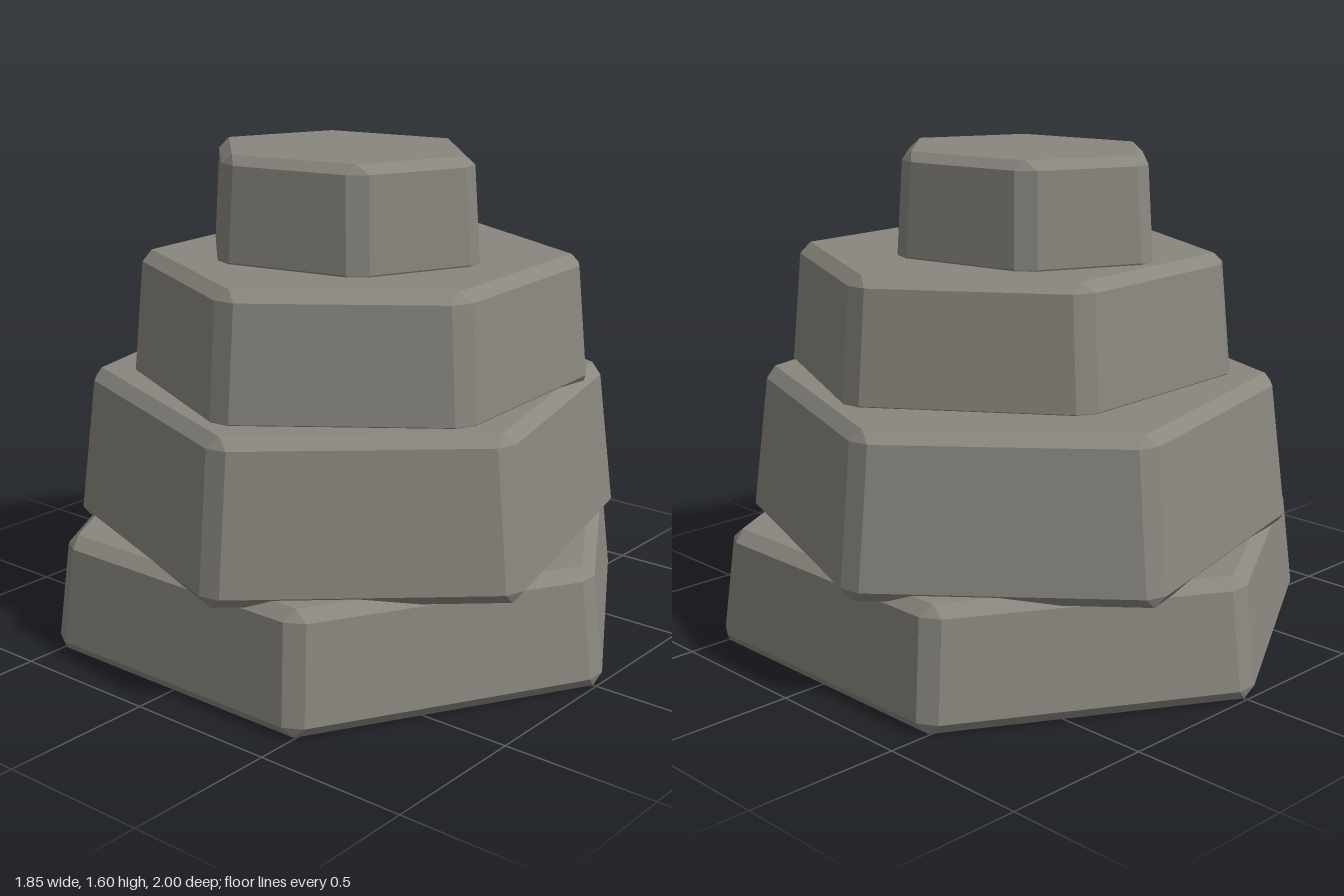
import * as THREE from 'three';

const CUT = 0.04; // width of the bevel that trims each corner

// Half of each slab's corners (x, z); the other half is the point reflection.
// levels: [height, scale, bevelled corners]
const slabs = [
  { name: 'baseSlab', centre: [0, 0], half: [[0, -1.018], [0.88, -0.509], [0.88, 0.509]],
    levels: [[0, 0.97, false], [0.035, 1, true], [0.35, 0.96, true], [0.385, 0.915, false]] },
  { name: 'lowerSlab', centre: [0, 0], half: [[0.325, -0.92], [0.94, -0.23], [0.61, 0.68]],
    levels: [[0.355, 0.965, false], [0.39, 1, true], [0.83, 0.94, true], [0.865, 0.895, false]] },
  { name: 'upperSlab', centre: [-0.03, 0.075], half: [[0.295, -0.65], [0.745, -0.05], [0.45, 0.61]],
    levels: [[0.83, 0.96, false], [0.868, 1, true], [1.23, 0.955, true], [1.263, 0.895, false]] },
  { name: 'topSlab', centre: [-0.047, 0.017], half: [[-0.09, -0.485], [0.3, -0.305], [0.405, 0.175]],
    levels: [[1.23, 0.95, false], [1.268, 1, true], [1.57, 0.955, true], [1.6, 0.875, false]] },
];

// Twelve points per level: two per corner, merged where the corner is sharp
function ring({ centre, half }, [y, scale, bevelled]) {
  const corners = [...half, ...half.map(([x, z]) => [-x, -z])]
    .map(([x, z]) => new THREE.Vector3(centre[0] + x * scale, y, centre[1] + z * scale));
  const points = [];
  corners.forEach((c, i) => {
    for (const step of [5, 1]) {
      const toward = corners[(i + step) % 6].clone().sub(c).normalize();
      points.push(c.clone().addScaledVector(toward, bevelled ? CUT : 0));
    }
  });
  return points;
}

function slabGeometry(slab) {
  const rings = slab.levels.map((level) => ring(slab, level));
  const pos = [];
  const tri = (a, b, c) => {
    const area = b.clone().sub(a).cross(c.clone().sub(a)).length();
    if (area > 1e-7) for (const p of [a, b, c]) pos.push(p.x, p.y, p.z);
  };
  // sloping sides and bevels
  for (let k = 0; k < 3; k++) {
    const lo = rings[k], hi = rings[k + 1];
    for (let i = 0; i < 12; i++) {
      const j = (i + 1) % 12;
      tri(lo[j], lo[i], hi[i]);
      tri(lo[j], hi[i], hi[j]);
    }
  }
  // flat bottom and top
  const bottom = rings[0], top = rings[3];
  for (let i = 1; i < 11; i++) {
    tri(bottom[0], bottom[i], bottom[i + 1]);
    tri(top[0], top[i + 1], top[i]);
  }
  const geo = new THREE.BufferGeometry();
  geo.setAttribute('position', new THREE.Float32BufferAttribute(pos, 3));
  geo.computeVertexNormals();
  return geo;
}

export function createModel() {
  const group = new THREE.Group();
  group.name = 'stackedStones';
  const stone = new THREE.MeshStandardMaterial({ color: 0x8a877f, flatShading: true });
  stone.name = 'stone grey';
  for (const slab of slabs) {
    const mesh = new THREE.Mesh(slabGeometry(slab), stone);
    mesh.name = slab.name;
    group.add(mesh);
  }
  return group;
}
